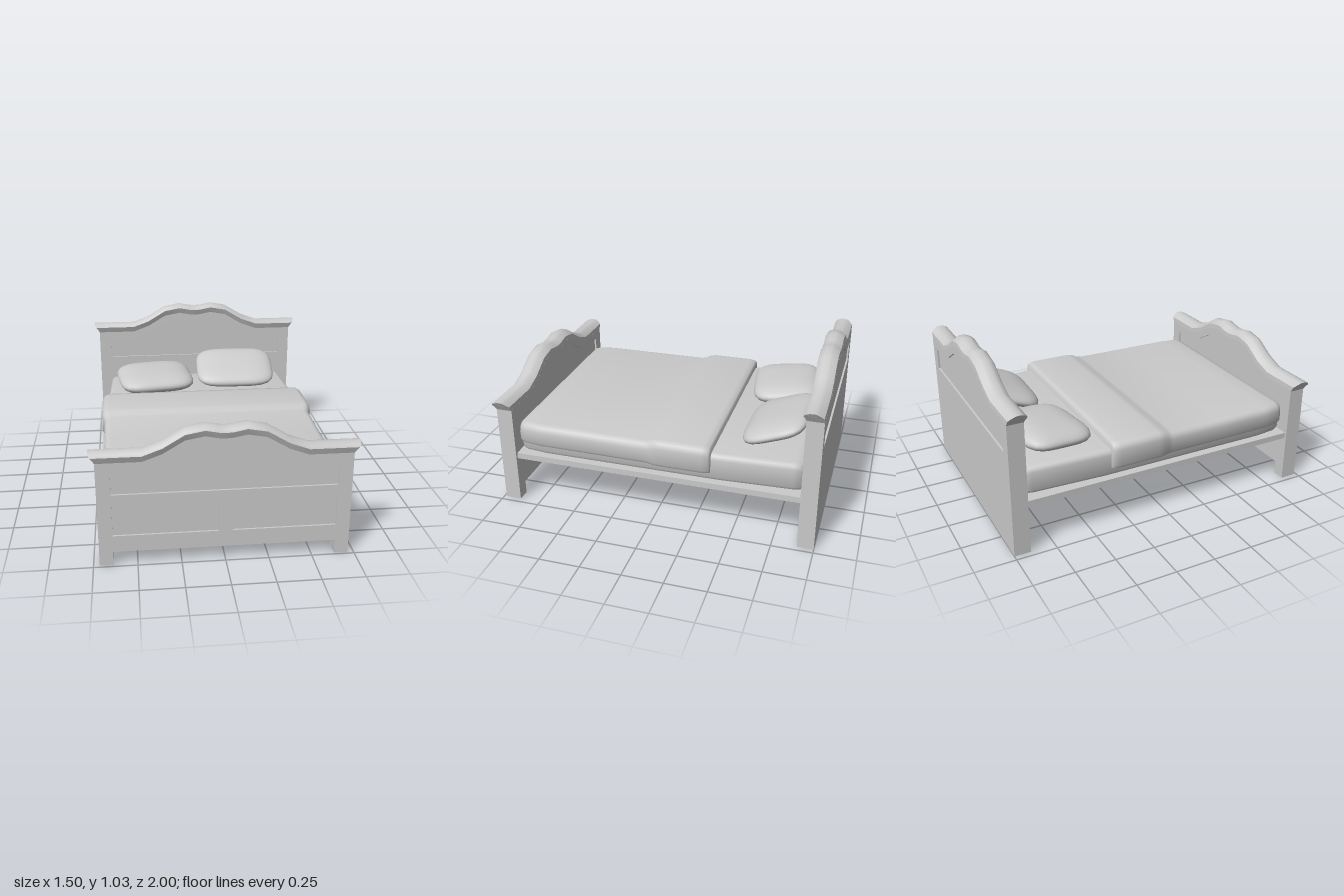
import * as THREE from 'three';
import { toCreasedNormals, mergeVertices } from 'three/addons/utils/BufferGeometryUtils.js';

const material = new THREE.MeshStandardMaterial({ color: 0xcccccc });

// Half of the wavy top line: [x, rise above the straight ends]
const HALF_WAVE = [[0.46, 0], [0.35, 0.04], [0.225, 0.115], [0.115, 0.135], [0.04, 0.12], [0, 0.117]];
const WAVE = [
  ...HALF_WAVE.map(([x, y]) => [-x, y]),
  ...HALF_WAVE.slice(0, -1).reverse(),
];

function addMesh(parent, name, geometry) {
  const mesh = new THREE.Mesh(geometry, material);
  mesh.name = name;
  parent.add(mesh);
  return mesh;
}

// Skin closed cross-sections (arrays of [x, y, z]) and cap both ends
function loft(sections, crease = 0.7) {
  const n = sections[0].length;
  const index = [];
  for (let i = 0; i < sections.length - 1; i++) {
    for (let j = 0; j < n; j++) {
      const k = (j + 1) % n;
      const a = i * n + j, b = i * n + k, c = b + n, d = a + n;
      index.push(a, b, c, a, c, d);
    }
  }
  const last = (sections.length - 1) * n;
  for (let j = 1; j < n - 1; j++) {
    index.push(0, j + 1, j, last, last + j, last + j + 1);
  }
  const geometry = new THREE.BufferGeometry();
  geometry.setAttribute('position', new THREE.Float32BufferAttribute(sections.flat(2), 3));
  geometry.setIndex(index);
  return toCreasedNormals(geometry, crease);
}

// Board outline with a wavy top, optionally cut out between two feet
function boardShape(top, footed) {
  const pts = [[-0.715, 0]];
  if (footed) pts.push([-0.635, 0], [-0.635, 0.085], [0.635, 0.085], [0.635, 0]);
  pts.push([0.715, 0], [0.715, top]);
  for (const [x, y] of [...WAVE].reverse()) pts.push([x, top + y]);
  pts.push([-0.715, top]);
  return new THREE.Shape(pts.map(p => new THREE.Vector2(...p)));
}

function pathFrom(pts) {
  return new THREE.Path(pts.map(p => new THREE.Vector2(...p)));
}

// Headboard or footboard; its back face lies at z = 0, its front at z = 0.1
function createEndBoard(name, height, footed) {
  const group = new THREE.Group();
  group.name = name;
  const depth = 0.1, recess = 0.012, boardTop = height - 0.058;

  const wavyPanel = () => pathFrom([
    [-0.635, height - 0.255], [0.635, height - 0.255], [0.635, height - 0.113],
    ...[...WAVE].reverse().map(([x, y]) => [x, height - 0.113 + y]),
    [-0.635, height - 0.113],
  ]);
  const lowerPanel = (x0, x1) => pathFrom([[x0, 0.185], [x1, 0.185], [x1, 0.375], [x0, 0.375]]);

  // Solid core between two facings whose holes form the recessed panels
  const layer = (label, z0, z1, holes) => {
    const shape = boardShape(boardTop, footed);
    shape.holes.push(...holes);
    const geometry = new THREE.ExtrudeGeometry(shape, { depth: z1 - z0, bevelEnabled: false });
    addMesh(group, label, geometry.translate(0, 0, z0));
  };
  const frontHoles = [wavyPanel()];
  if (footed) frontHoles.push(lowerPanel(-0.635, -0.04), lowerPanel(0.04, 0.635));
  layer('backFacing', 0, recess, [wavyPanel()]);
  layer('boardCore', recess, depth - recess, []);
  layer('frontFacing', depth - recess, depth, frontHoles);

  // Crown moulding: profile points are [z, drop below top line, end half width]
  const profile = [
    [0, -0.062, 0.715], [0.002, -0.028, 0.735], [0.035, -0.004, 0.75], [0.05, 0, 0.75],
    [0.08, 0, 0.75], [0.108, -0.012, 0.745], [0.115, -0.024, 0.738], [0.108, -0.042, 0.725],
    [0.1, -0.062, 0.715],
  ];
  const section = (x, rise) => profile.map(([z, dy]) => [x, height + rise + dy, z]);
  const end = side => profile.map(([z, dy, w]) => [side * w, height + dy, z]);
  addMesh(group, 'crownMoulding', loft([end(-1), ...WAVE.map(p => section(...p)), end(1)], 0.8));
  return group;
}

// Bedding: rounded cross-sections along z from stations [z, half width, top]
function createBedding(stations, bottom, round) {
  const sections = stations.map(([z, w, top]) => {
    const half = [[w - 0.012, bottom], [w, bottom + 0.02]];
    for (let i = 0; i <= 4; i++) {
      const a = (i / 4) * Math.PI / 2;
      half.push([w - round * (1 - Math.cos(a)), top - round * (1 - Math.sin(a))]);
    }
    const mirrored = half.map(([x, y]) => [-x, y]).reverse();
    return [...half, ...mirrored].map(([x, y]) => [x, y, z]);
  });
  return loft(sections, 0.9);
}

// Pillow: a sphere pushed out to a rounded rectangle in plan
function createPillow(width, thickness, depth) {
  const geometry = new THREE.SphereGeometry(1, 40, 20);
  const pos = geometry.attributes.position;
  const n = 4.2;
  for (let i = 0; i < pos.count; i++) {
    const x = pos.getX(i), y = pos.getY(i), z = pos.getZ(i);
    const c = Math.hypot(x, z);
    let px = 0, pz = 0;
    if (c > 1e-5) {
      const ux = x / c, uz = z / c;
      const r = Math.pow(c, 0.65) * Math.pow(Math.abs(ux) ** n + Math.abs(uz) ** n, -1 / n);
      px = ux * r;
      pz = uz * r;
    }
    pos.setXYZ(i, px * width / 2, y * thickness / 2, pz * depth / 2);
  }
  geometry.deleteAttribute('uv');
  geometry.deleteAttribute('normal');
  const merged = mergeVertices(geometry, 1e-5);
  merged.computeVertexNormals();
  return merged;
}

export function createModel() {
  const bed = new THREE.Group();
  bed.name = 'bed';

  // End boards
  const headboard = createEndBoard('headboard', 0.897, false);
  headboard.position.z = -1;
  const footboard = createEndBoard('footboard', 0.695, true);
  footboard.position.z = 0.885;
  bed.add(headboard, footboard);

  // Platform between the boards
  const platform = addMesh(bed, 'platform', new THREE.BoxGeometry(1.4, 0.038, 1.79));
  platform.position.set(0, 0.312, -0.005);

  // Mattress
  addMesh(bed, 'mattress', createBedding([
    [-0.895, 0.61, 0.475], [-0.885, 0.625, 0.492], [-0.84, 0.638, 0.5], [-0.4, 0.66, 0.5],
    [0.7, 0.66, 0.5], [0.84, 0.645, 0.5], [0.875, 0.625, 0.485],
  ], 0.331, 0.035));

  // Blanket with its thicker folded-back band
  addMesh(bed, 'blanket', createBedding([
    [-0.355, 0.682, 0.535], [-0.347, 0.69, 0.545], [-0.31, 0.698, 0.55], [-0.05, 0.698, 0.55],
    [-0.01, 0.695, 0.545], [0.02, 0.684, 0.53], [0.05, 0.68, 0.524], [0.4, 0.677, 0.524],
    [0.74, 0.675, 0.524], [0.84, 0.66, 0.523], [0.875, 0.645, 0.516], [0.884, 0.635, 0.505],
  ], 0.385, 0.045));

  // Pillows: one lying flat, one leaning towards the headboard
  const flatPillow = addMesh(bed, 'rightPillow', createPillow(0.53, 0.13, 0.44));
  flatPillow.position.set(-0.32, 0.562, -0.635);
  flatPillow.rotation.set(0.09, 0.14, 0, 'YXZ');
  const leaningPillow = addMesh(bed, 'leftPillow', createPillow(0.56, 0.115, 0.41));
  leaningPillow.position.set(0.272, 0.598, -0.69);
  leaningPillow.rotation.set(0.37, -0.03, 0, 'YXZ');

  return bed;
}
